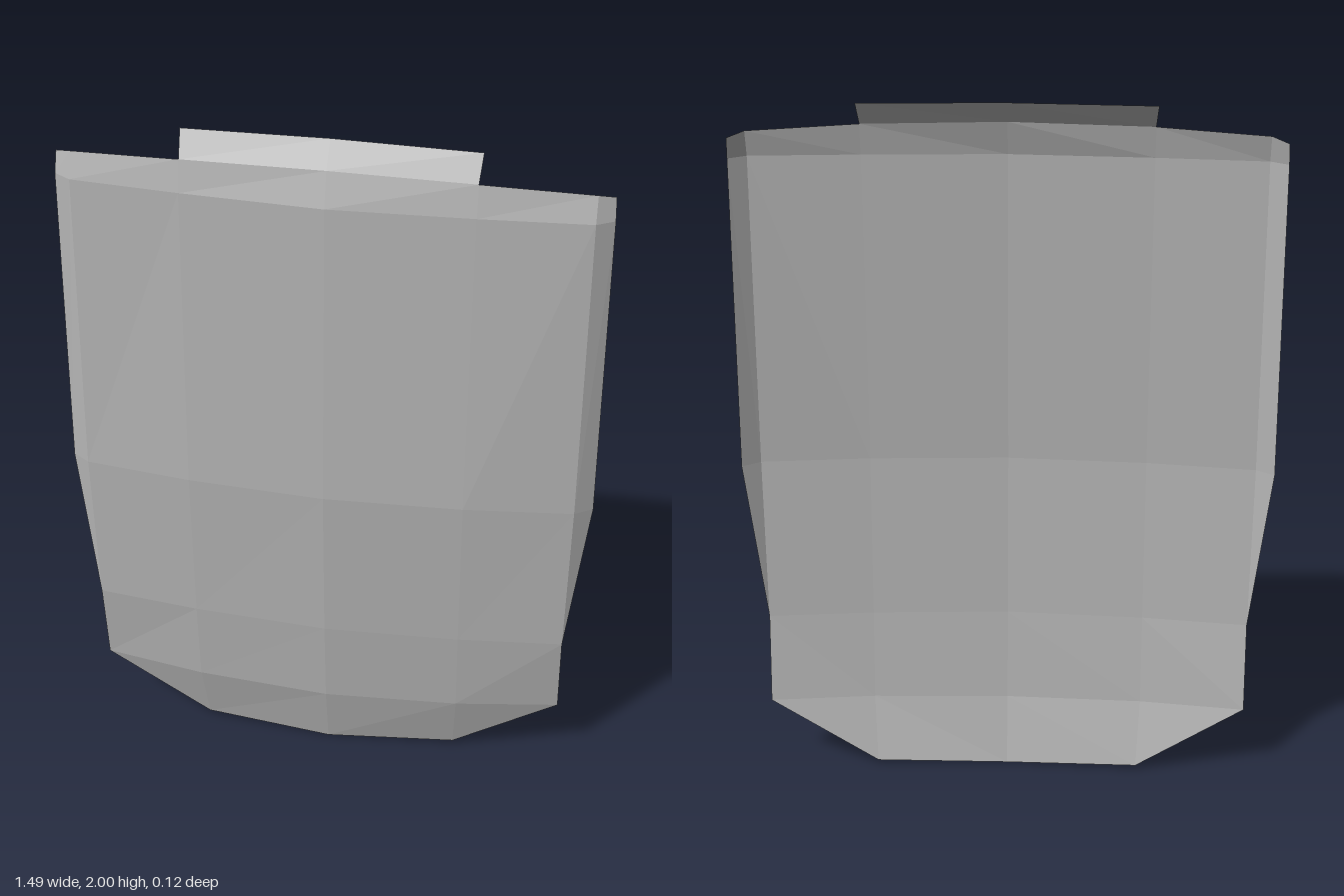
import * as THREE from 'three';

// Half cross-sections from bottom to top: centre, mid crease, outer crease, flange rim
const ROWS = [
  [[0, 0.0, -0.03], [0.38, 0.015, -0.058], [0.69, 0.21, -0.055], [0.69, 0.21, -0.055]],
  [[0, 0.2, 0.013], [0.39, 0.205, -0.01], [0.69, 0.21, -0.055], [0.69, 0.21, -0.055]],
  [[0, 0.47, 0.036], [0.39, 0.47, 0.014], [0.69, 0.47, -0.02], [0.69, 0.47, -0.02]],
  [[0, 0.95, 0.058], [0.39, 0.95, 0.037], [0.695, 0.95, 0], [0.745, 0.95, -0.034]],
  [[0, 1.84, 0.034], [0.39, 1.84, 0.014], [0.69, 1.84, -0.01], [0.738, 1.84, -0.04]],
  [[0, 1.935, 0.005], [0.39, 1.928, -0.004], [0.69, 1.913, -0.03], [0.735, 1.9, -0.055]],
];

// Sheet through a grid of points, rows running upward and columns toward +x
function sheet(name, rows, material) {
  const positions = [];
  const same = (a, b) => a.every((v, i) => v === b[i]);
  const tri = (a, b, c) => {
    if (!same(a, b) && !same(b, c) && !same(a, c)) positions.push(...a, ...b, ...c);
  };
  for (let r = 0; r < rows.length - 1; r++) {
    for (let c = 0; c < rows[r].length - 1; c++) {
      const a = rows[r][c], b = rows[r][c + 1];
      const d = rows[r + 1][c], e = rows[r + 1][c + 1];
      tri(a, b, e);
      tri(a, e, d);
    }
  }
  const geometry = new THREE.BufferGeometry();
  geometry.setAttribute('position', new THREE.Float32BufferAttribute(positions, 3));
  geometry.computeVertexNormals();
  const mesh = new THREE.Mesh(geometry, material);
  mesh.name = name;
  return mesh;
}

const flip = (row) => row.map(([x, y, z]) => [-x, y, z]).reverse();

export function createModel() {
  const grey = new THREE.MeshStandardMaterial({
    color: 0xb4b4b4, flatShading: true, side: THREE.DoubleSide,
  });
  grey.name = 'panel grey';

  const model = new THREE.Group();
  model.name = 'curvedPanel';

  // Main bowed face
  const face = ROWS.map((row) => row.slice(0, 3));
  model.add(sheet('panelFace', face.map((row) => [...flip(row).slice(0, 2), ...row]), grey));

  // Folded-back side flanges
  const rim = ROWS.slice(2).map((row) => row.slice(2));
  model.add(sheet('leftFlange', rim, grey));
  model.add(sheet('rightFlange', rim.map(flip), grey));

  // Tab leaning back from the top edge
  const base = ROWS[5].slice(0, 2);
  const tip = [[0, 2, -0.05], [0.395, 1.995, -0.05]];
  model.add(sheet('topTab', [base, tip].map((row) => [...flip(row).slice(0, 1), ...row]), grey));

  return model;
}
